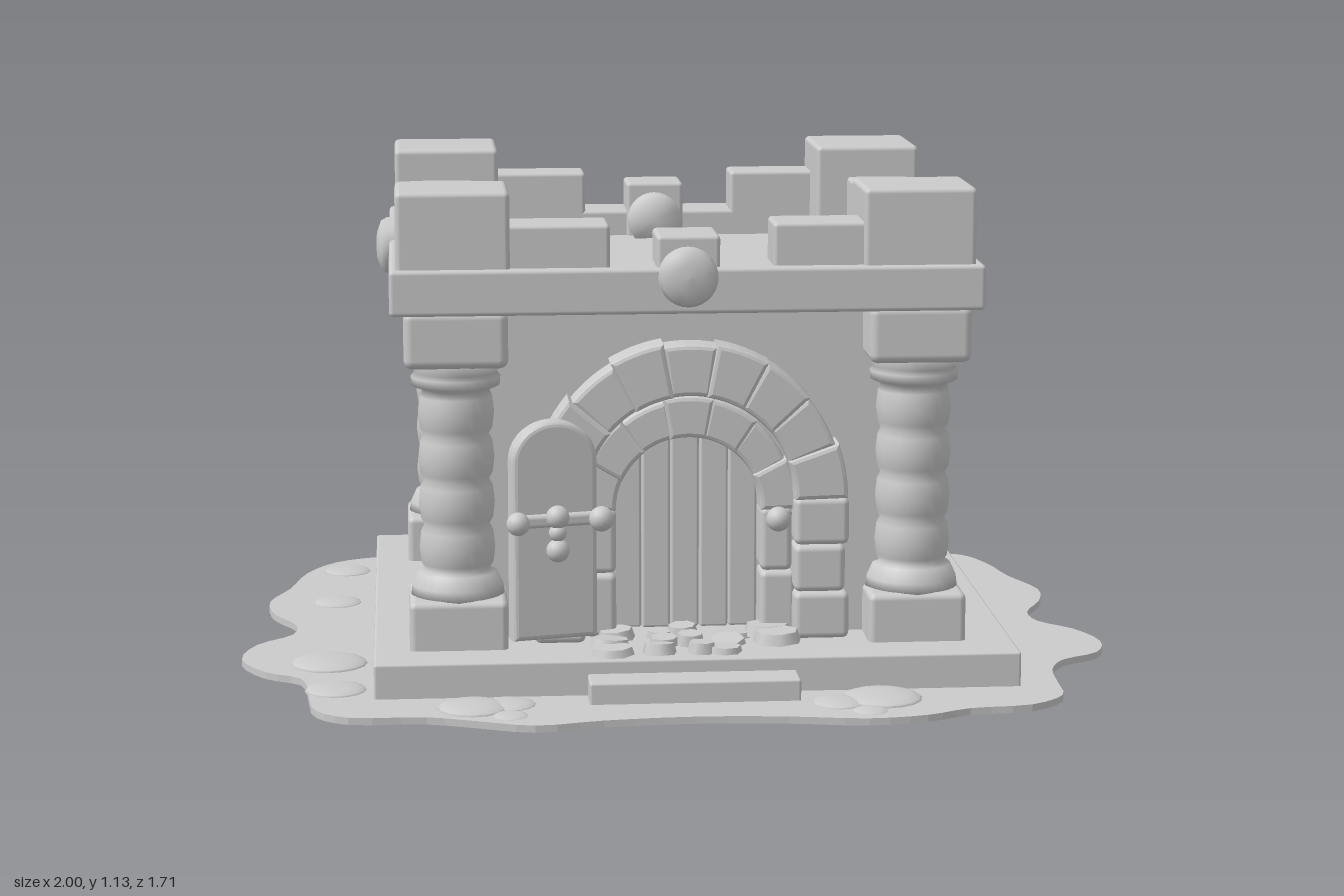
import * as THREE from 'three';
import { RoundedBoxGeometry } from 'three/addons/geometries/RoundedBoxGeometry.js';

const stone = new THREE.MeshStandardMaterial({ color: 0xcccccc });

function add(parent, name, geometry, x = 0, y = 0, z = 0) {
  const mesh = new THREE.Mesh(geometry, stone);
  mesh.name = name;
  mesh.position.set(x, y, z);
  parent.add(mesh);
  return mesh;
}

// Soft-edged block given by its limits on each axis
function block(parent, name, x0, x1, y0, y1, z0, z1, r = 0.01) {
  const geometry = new RoundedBoxGeometry(x1 - x0, y1 - y0, z1 - z0, 2, r);
  return add(parent, name, geometry, (x0 + x1) / 2, (y0 + y1) / 2, (z0 + z1) / 2);
}

// Outline of an opening: straight sides below a half ellipse
function archOutline(half, bottom, spring, rise, Type = THREE.Shape) {
  const p = new Type();
  p.moveTo(-half, bottom);
  p.lineTo(half, bottom);
  p.lineTo(half, spring);
  p.absellipse(0, spring, half, rise, 0, Math.PI, false);
  p.lineTo(-half, bottom);
  return p;
}

// Flat wall facing +z with its front at z = 0
function wall(parent, half, hole) {
  const s = new THREE.Shape();
  s.moveTo(-half, 0.1);
  s.lineTo(half, 0.1);
  s.lineTo(half, 0.88);
  s.lineTo(-half, 0.88);
  s.closePath();
  if (hole) s.holes.push(hole);
  const geometry = new THREE.ExtrudeGeometry(s, { depth: 0.09, bevelEnabled: false, curveSegments: 24 });
  return add(parent, 'wall', geometry, 0, 0, -0.09);
}

// Wedge stones between two half ellipses, each slightly uneven
function archStones(parent, name, count, spring, [rx0, ry0], [rx1, ry1], z0, z1) {
  const b = 0.01;
  for (let i = 0; i < count; i++) {
    const a0 = (i / count) * Math.PI + 0.025, a1 = ((i + 1) / count) * Math.PI - 0.025;
    const grow = 0.006 * Math.sin(i * 2.7 + 1);
    const points = [];
    for (let k = 0; k <= 5; k++) {
      const a = a0 + (a1 - a0) * k / 5;
      points.push(new THREE.Vector2(Math.cos(a) * (rx1 - b + grow), Math.sin(a) * (ry1 - b + grow)));
    }
    for (let k = 5; k >= 0; k--) {
      const a = a0 + (a1 - a0) * k / 5;
      points.push(new THREE.Vector2(Math.cos(a) * (rx0 + b), Math.sin(a) * (ry0 + b)));
    }
    const geometry = new THREE.ExtrudeGeometry(new THREE.Shape(points), {
      depth: z1 - z0 - 2 * b + grow, bevelSize: b, bevelThickness: b, bevelSegments: 2,
    });
    add(parent, name, geometry, 0, spring, z0 + b);
  }
}

// Stacked side stones under an arch, mirrored
function jambs(parent, name, inner, outer, bottom, top, count, z0, z1) {
  const h = (top - bottom) / count;
  for (const side of [-1, 1]) {
    for (let i = 0; i < count; i++) {
      const o = outer + 0.006 * Math.sin(i * 3 + side);
      block(parent, name, Math.min(side * inner, side * o), Math.max(side * inner, side * o),
        bottom + i * h, bottom + (i + 1) * h, z0, z1, 0.015);
    }
  }
}

function groundPatch(parent) {
  const outline = [
    [0, -0.74], [0.12, -0.79], [0.27, -0.855], [0.4, -0.82], [0.47, -0.78], [0.6, -0.77], [0.7, -0.71],
    [0.82, -0.67], [0.87, -0.57], [0.9, -0.43], [0.95, -0.28], [0.93, -0.16], [0.88, -0.05], [0.89, 0.04],
    [0.96, 0.12], [1, 0.24], [0.97, 0.34], [0.88, 0.4], [0.84, 0.48], [0.83, 0.6], [0.82, 0.7], [0.74, 0.77],
    [0.6, 0.79], [0.5, 0.835], [0.37, 0.853], [0.2, 0.825], [0, 0.81], [-0.2, 0.825], [-0.35, 0.853],
    [-0.47, 0.81], [-0.58, 0.77], [-0.75, 0.76], [-0.82, 0.7], [-0.84, 0.57], [-0.86, 0.43], [-0.94, 0.37],
    [-1, 0.25], [-0.97, 0.12], [-0.89, 0.03], [-0.885, -0.06], [-0.94, -0.17], [-0.955, -0.3], [-0.91, -0.43],
    [-0.87, -0.6], [-0.8, -0.71], [-0.7, -0.76], [-0.58, -0.77], [-0.4, -0.83], [-0.27, -0.86], [-0.12, -0.79],
  ].map(([x, z]) => new THREE.Vector3(x, -z, 0));
  const curve = new THREE.CatmullRomCurve3(outline, true);
  const shape = new THREE.Shape(curve.getPoints(150).map((p) => new THREE.Vector2(p.x, p.y)));
  const geometry = new THREE.ExtrudeGeometry(shape, { depth: 0.016, bevelEnabled: false });
  add(parent, 'ground', geometry, 0, 0.011, 0).rotation.x = -Math.PI / 2;
  // Low mounds and flat pebbles
  for (const [x, z, r] of [[-0.8, 0.3, 0.09], [-0.78, 0.53, 0.07], [-0.48, 0.7, 0.08], [-0.4, 0.68, 0.06],
    [-0.4, 0.77, 0.04], [0.32, 0.72, 0.06], [0.42, 0.69, 0.09], [0.38, 0.79, 0.04], [-0.79, -0.28, 0.06],
    [-0.77, -0.61, 0.06]]) {
    add(parent, 'mound', new THREE.SphereGeometry(r, 16, 8), x, 0.025, z).scale.y = 0.2;
  }
}

function column(parent, x, z) {
  const g = new THREE.Group();
  g.name = 'column';
  g.position.set(x, 0, z);
  parent.add(g);
  block(g, 'columnFoot', -0.11, 0.11, 0.005, 0.215, -0.11, 0.11, 0.015);
  const profile = [[0, 0.2], [0.105, 0.21], [0.102, 0.235], [0.088, 0.265]];
  // Four bulging drums separated by grooves
  for (let i = 0; i < 4; i++) {
    const y = 0.27 + i * 0.1025;
    profile.push([0.073, y], [0.081, y + 0.015], [0.085, y + 0.05], [0.081, y + 0.087]);
  }
  profile.push([0.074, 0.68], [0.098, 0.69], [0.1, 0.71], [0.092, 0.72], [0.115, 0.765], [0, 0.77]);
  add(g, 'shaft', new THREE.LatheGeometry(profile.map((p) => new THREE.Vector2(...p)), 24));
  block(g, 'capital', -0.115, 0.115, 0.74, 0.87, -0.115, 0.115, 0.02);
}

function windowSide(parent, x, turn) {
  const g = new THREE.Group();
  g.name = 'windowWall';
  g.position.set(x, 0, -0.045);
  g.rotation.y = turn;
  parent.add(g);
  wall(g, 0.43, archOutline(0.2, 0.31, 0.44, 0.2, THREE.Path));
  archStones(g, 'windowArchStone', 7, 0.46, [0.185, 0.165], [0.282, 0.25], -0.02, 0.06);
  jambs(g, 'windowJamb', 0.185, 0.285, 0.27, 0.465, 2, -0.02, 0.06);
  archStones(g, 'innerWindowArch', 5, 0.46, [0.125, 0.11], [0.195, 0.172], -0.07, 0.025);
  jambs(g, 'innerWindowJamb', 0.145, 0.19, 0.31, 0.46, 1, -0.07, 0.015);
  block(g, 'windowSill', -0.21, 0.21, 0.27, 0.32, -0.07, 0.075);
  block(g, 'windowBar', -0.165, 0.165, 0.435, 0.475, -0.07, 0.03);
}

function doorway(parent) {
  const g = new THREE.Group();
  g.name = 'doorway';
  g.position.set(0.015, 0, 0.39);
  parent.add(g);
  wall(g, 0.49, archOutline(0.22, 0.1, 0.41, 0.22, THREE.Path));
  archStones(g, 'doorArchStone', 9, 0.43, [0.235, 0.235], [0.35, 0.355], -0.03, 0.08);
  jambs(g, 'doorJamb', 0.235, 0.355, 0.105, 0.43, 3, -0.03, 0.08);
  archStones(g, 'innerDoorArch', 7, 0.4, [0.163, 0.163], [0.245, 0.255], -0.07, 0.03);
  jambs(g, 'innerDoorJamb', 0.163, 0.24, 0.105, 0.4, 2, -0.07, 0.03);
  for (let i = 0; i < 5; i++) {
    const x = -0.165 + i * 0.066;
    block(g, 'plank', x, x + 0.064, 0.105, 0.555, -0.09, -0.06 + 0.004 * (i % 2), 0.006);
  }
  add(g, 'knob', new THREE.SphereGeometry(0.028, 16, 12), 0.2, 0.38, 0.06);
  // Open leaf with rounded top
  const leaf = new THREE.Group();
  leaf.name = 'doorLeaf';
  leaf.position.set(-0.3, 0, 0.145);
  leaf.rotation.y = 0.22;
  parent.add(leaf);
  add(leaf, 'leafPanel', new THREE.ExtrudeGeometry(archOutline(0.085, 0.15, 0.54, 0.078), {
    depth: 0.03, bevelSize: 0.012, bevelThickness: 0.012, bevelSegments: 3, curveSegments: 16,
  }));
  leaf.position.z = 0.515;
  block(leaf, 'leafBand', -0.095, 0.095, 0.395, 0.425, 0.02, 0.055);
  for (const [x, y, r] of [[-0.09, 0.41, 0.026], [0, 0.42, 0.026], [0.1, 0.41, 0.028], [0, 0.345, 0.026], [0, 0.385, 0.02]]) {
    add(leaf, 'leafKnob', new THREE.SphereGeometry(r, 16, 12), x, y, 0.06);
  }
  // Uneven paving in front of the door
  for (let i = 0; i < 14; i++) {
    const r = 0.045 + 0.012 * Math.sin(i * 5.1);
    const x = -0.15 + (i % 5) * 0.085 + 0.02 * Math.sin(i * 2.3);
    const z = 0.42 + Math.floor(i / 5) * 0.07;
    const slab = add(parent, 'pavingStone', new THREE.CylinderGeometry(r * 0.85, r, 0.025, 7), x, 0.113 + 0.008 * Math.sin(i * 3.7), z);
    slab.rotation.set(0.08 * Math.sin(i), i * 1.3, 0.08 * Math.cos(i * 2));
  }
}

function battlements(parent) {
  // Parapet ring and roof floor
  for (const [z0, z1] of [[-0.63, -0.49], [0.36, 0.525]]) block(parent, 'parapet', -0.65, 0.665, 0.86, 0.962, z0, z1);
  for (const [x0, x1] of [[-0.65, -0.45], [0.47, 0.665]]) block(parent, 'parapet', x0, x1, 0.86, 0.962, -0.63, 0.525);
  block(parent, 'roofFloor', -0.5, 0.52, 0.85, 0.9, -0.52, 0.41, 0.005);
  // Tall corner blocks
  for (const [x0, x1] of [[-0.635, -0.385], [0.395, 0.645]]) {
    for (const [z0, z1] of [[-0.613, -0.35], [0.29, 0.512]]) block(parent, 'cornerBlock', x0, x1, 0.88, 1.132, z0, z1, 0.012);
  }
  // Lower merlons beside the corners, middle merlons front and back
  for (const [z0, z1] of [[-0.605, -0.49], [0.37, 0.5]]) {
    for (const [x0, x1] of [[-0.4, -0.165], [0.195, 0.41]]) block(parent, 'merlon', x0, x1, 0.89, 1.057, z0, z1);
    block(parent, 'middleMerlon', -0.063, 0.077, 0.89, 1.032, z0 - 0.01, z1 + 0.01);
  }
  for (const [x0, x1] of [[-0.605, -0.445], [0.47, 0.62]]) {
    for (const [z0, z1] of [[-0.36, -0.17], [0.1, 0.3]]) block(parent, 'merlon', x0, x1, 0.89, 1.057, z0, z1);
  }
  // Round bosses with domed faces, one per side
  const boss = new THREE.LatheGeometry([[0, -0.12], [0.066, -0.12], [0.066, 0.09], [0.058, 0.105], [0.03, 0.115], [0, 0.117]]
    .map((p) => new THREE.Vector2(...p)), 28);
  for (const [x, z, turn] of [[0.005, 0.44, 0], [0.005, -0.548, Math.PI], [0.575, -0.05, Math.PI / 2], [-0.563, -0.05, -Math.PI / 2]]) {
    const mesh = add(parent, 'boss', boss, x, 0.942, z);
    mesh.rotation.set(Math.PI / 2, 0, -turn);
  }
}

export function createModel() {
  const model = new THREE.Group();
  model.name = 'castleHouse';
  groundPatch(model);
  block(model, 'plinth', -0.695, 0.742, 0, 0.105, -0.68, 0.62, 0.006);
  block(model, 'step', -0.225, 0.24, 0.005, 0.075, 0.6, 0.7, 0.006);
  block(model, 'core', -0.41, 0.43, 0.1, 0.88, -0.47, 0.305, 0.005);
  const back = wall(model, 0.49);
  back.name = 'backWall';
  back.position.set(0.015, 0, -0.48);
  windowSide(model, 0.505, Math.PI / 2);
  windowSide(model, -0.475, -Math.PI / 2);
  doorway(model);
  for (const x of [-0.505, 0.525]) for (const z of [0.4, -0.485]) column(model, x, z);
  battlements(model);
  return model;
}
